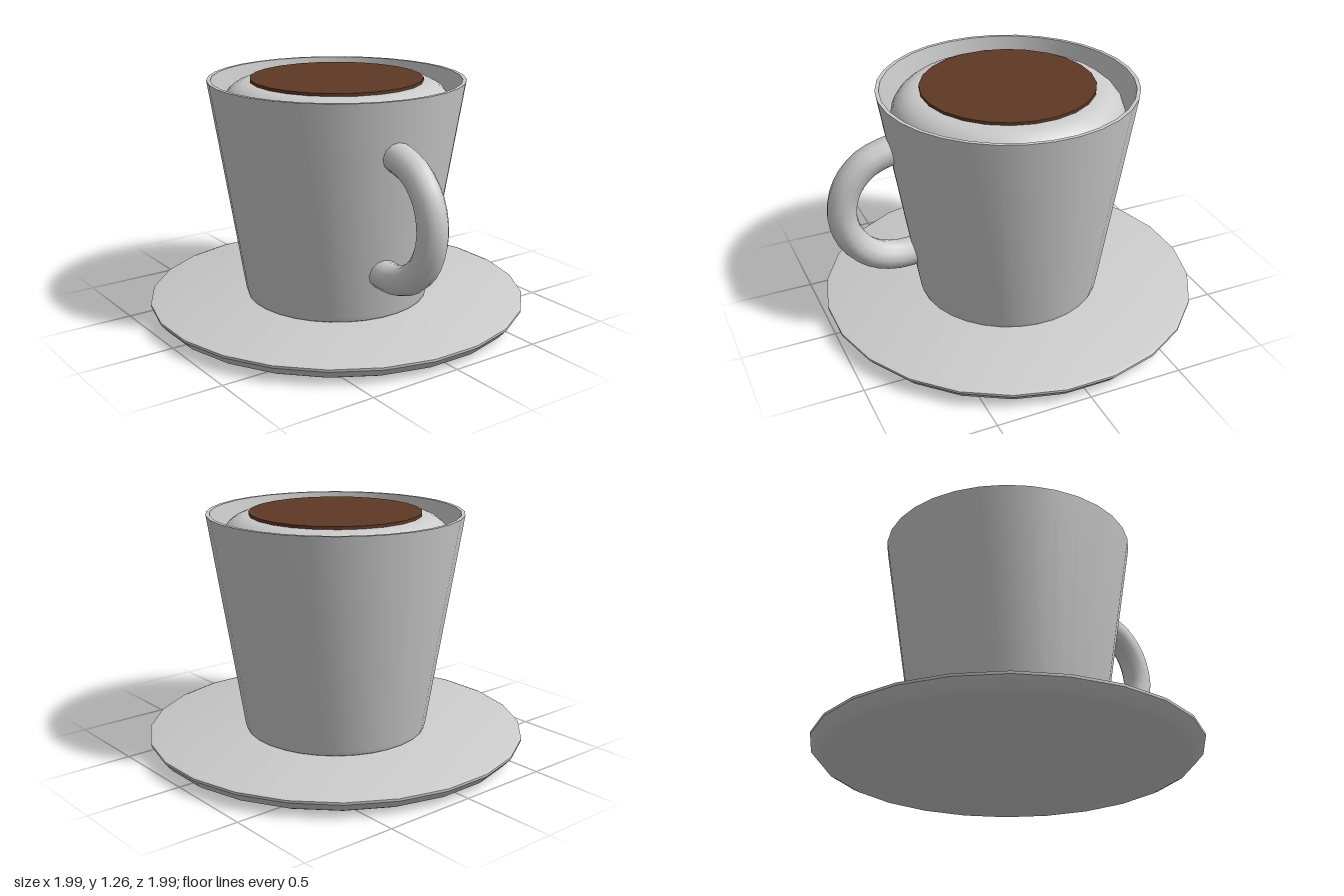
import * as THREE from 'three';
import { toCreasedNormals } from 'three/addons/utils/BufferGeometryUtils.js';

const china = new THREE.MeshStandardMaterial({ color: 0xcccccc, side: THREE.DoubleSide });
const brown = new THREE.MeshStandardMaterial({ color: 0x5f3825 });

// Turned part from [radius, height] pairs, listed bottom to top on the outside
function turned(name, profile, segments, material = china) {
  const points = profile.map(([r, y]) => new THREE.Vector2(r, y));
  const lathe = new THREE.LatheGeometry(points, segments);
  lathe.rotateY(Math.PI / segments);
  const mesh = new THREE.Mesh(toCreasedNormals(lathe, 0.6), material);
  mesh.name = name;
  return mesh;
}

export function createModel() {
  const group = new THREE.Group();
  group.name = 'cupAndSaucer';

  // Flat saucer with a flared edge
  group.add(turned('saucer', [
    [0, 0], [0.7, 0.003], [0.93, 0.012], [0.965, 0.03], [1.004, 0.075], [1.005, 0.088], [0.985, 0.095], [0, 0.095],
  ], 24));

  // Hollow tapered cup with a thin rim
  group.add(turned('cup', [
    [0, 0.09], [0.465, 0.09], [0.482, 0.1], [0.49, 0.125], [0.67, 1.26],
    [0.65, 1.26], [0.475, 0.15], [0, 0.14],
  ], 32));

  // Rounded milk foam inside the cup
  const foam = [[0, 0.95], [0.585, 0.95]];
  for (let i = 0; i <= 6; i++) {
    const a = (i / 6) * Math.PI / 2;
    foam.push([0.45 + 0.152 * Math.cos(a), 1.1 + 0.15 * Math.sin(a)]);
  }
  foam.push([0, 1.25]);
  group.add(turned('foam', foam, 32));

  // Thin coffee disc on the foam
  group.add(turned('coffee', [[0, 1.245], [0.45, 1.245], [0.45, 1.265], [0, 1.265]], 24, brown));

  // Round handle on the left side, slightly forward of centre
  const path = new THREE.CatmullRomCurve3([
    [0.5, 0.355], [0.62, 0.355], [0.745, 0.4], [0.845, 0.505], [0.888, 0.665],
    [0.85, 0.82], [0.755, 0.925], [0.64, 0.972], [0.6, 0.98],
  ].map(([x, y]) => new THREE.Vector3(x, y, 0.08)));
  const handle = new THREE.Mesh(new THREE.TubeGeometry(path, 20, 0.077, 12), china);
  handle.name = 'handle';
  group.add(handle);

  return group;
}
